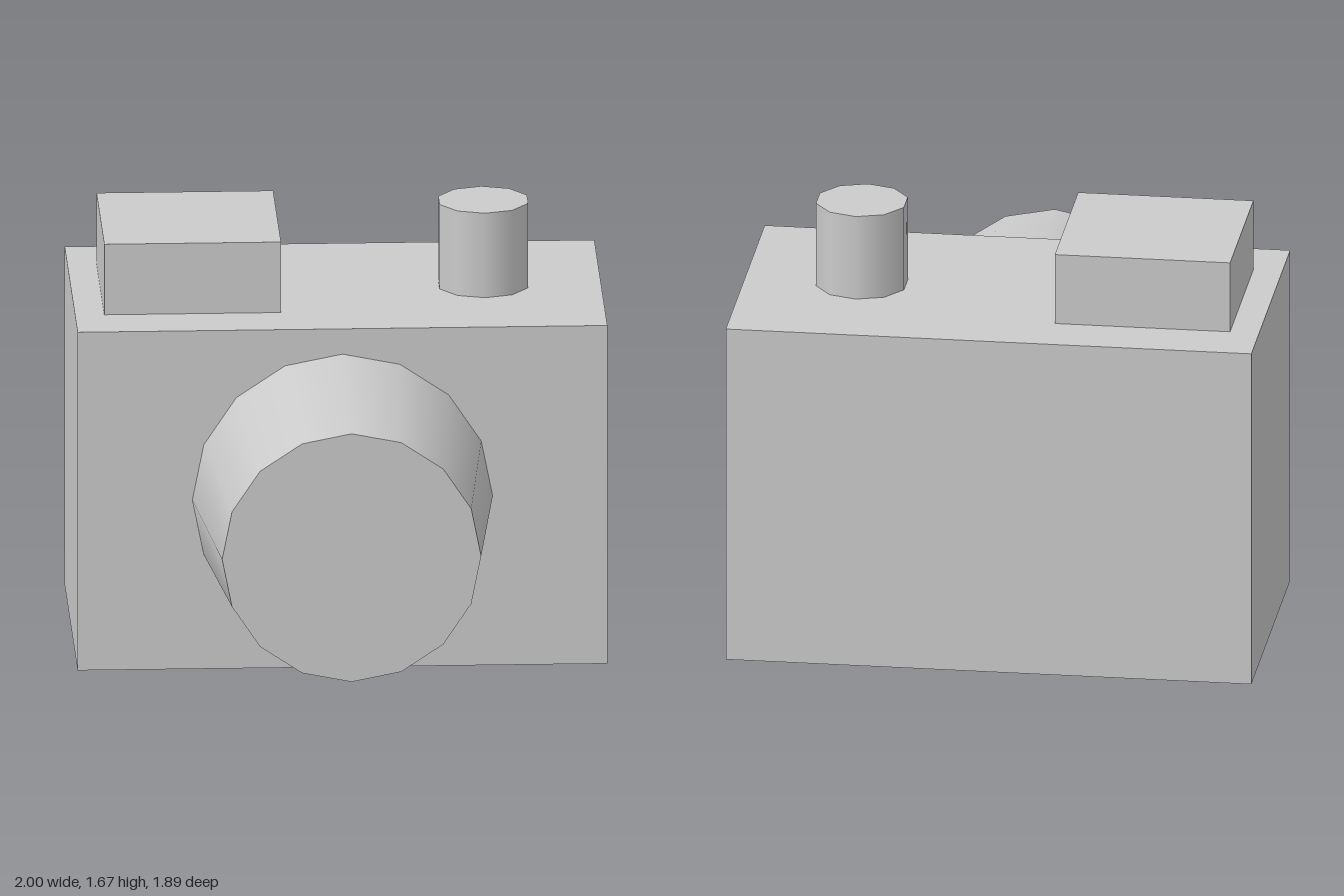
import * as THREE from 'three';

const material = new THREE.MeshStandardMaterial({ color: 0xcccccc });

function addPart(group, name, geometry, x, y, z) {
  const mesh = new THREE.Mesh(geometry, material);
  mesh.name = name;
  mesh.position.set(x, y, z);
  group.add(mesh);
  return mesh;
}

export function createModel() {
  const camera = new THREE.Group();
  camera.name = 'camera';

  const bodyHeight = 1.333;
  const bodyFront = 0.167;
  const lensFront = 0.944;
  const lensLength = lensFront - bodyFront;

  // Main box
  addPart(camera, 'body', new THREE.BoxGeometry(2, bodyHeight, 1.111), 0, bodyHeight / 2, -0.389);

  // Tapered lens pointing forward, narrower at the front
  const lens = addPart(camera, 'lens', new THREE.CylinderGeometry(0.489, 0.567, lensLength, 16),
    0, bodyHeight / 2, bodyFront + lensLength / 2);
  lens.rotation.x = Math.PI / 2;

  // Viewfinder block on top
  addPart(camera, 'viewfinder', new THREE.BoxGeometry(0.667, 0.278, 0.667), -0.556, bodyHeight + 0.139, -0.389);

  // Shutter button on top
  addPart(camera, 'shutterButton', new THREE.CylinderGeometry(0.176, 0.176, 0.333, 10),
    0.556, bodyHeight + 0.1665, -0.389);

  return camera;
}
